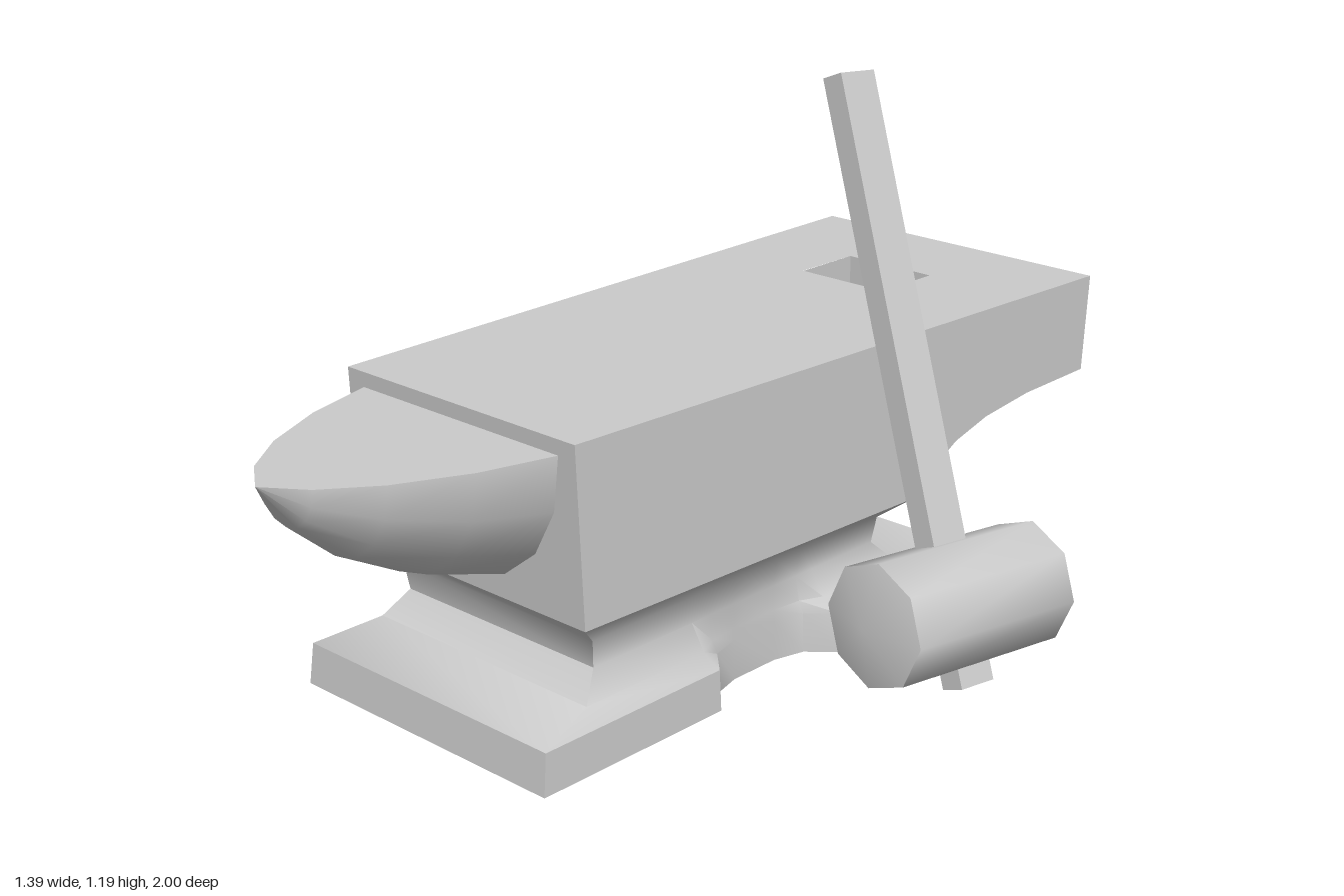
import * as THREE from 'three';
import { toCreasedNormals } from 'three/addons/utils/BufferGeometryUtils.js';

const grey = new THREE.MeshStandardMaterial({ color: 0xcccccc });
const greyDouble = new THREE.MeshStandardMaterial({ color: 0xcccccc, side: THREE.DoubleSide });

function part(name, geometry, material = grey) {
  const mesh = new THREE.Mesh(geometry, material);
  mesh.name = name;
  return mesh;
}

// Anvil top: slopes slightly to the heel and widens towards it
const topY = (z) => 0.659 + 0.005 * z;
const halfWidth = (z) => 0.322 + (0.645 - z) * 0.036;

// Removes the triangles that lie wholly above a height
function dropAbove(geometry, limit) {
  const p = (geometry.index ? geometry.toNonIndexed() : geometry).attributes.position;
  const kept = [];
  for (let i = 0; i < p.count; i += 3) {
    if (Math.min(p.getY(i), p.getY(i + 1), p.getY(i + 2)) > limit) continue;
    for (let k = i; k < i + 3; k++) kept.push(p.getX(k), p.getY(k), p.getZ(k));
  }
  const out = new THREE.BufferGeometry();
  out.setAttribute('position', new THREE.Float32BufferAttribute(kept, 3));
  return out;
}

// Flat upward face from [x, z] corners, with an optional hole
function flatTop(corners, hole) {
  const points = (list) => list.map(([x, z]) => new THREE.Vector2(x, -z));
  const shape = new THREE.Shape(points(corners));
  if (hole) shape.holes.push(new THREE.Path(points(hole)));
  return new THREE.ShapeGeometry(shape).rotateX(-Math.PI / 2);
}

// Body with the heel's curved underside, extruded across the width
function bodyGeometry() {
  const profile = [
    [0.645, topY(0.645)], [-0.883, topY(-0.883)], [-0.865, 0.44], [-0.67, 0.432], [-0.53, 0.413],
    [-0.43, 0.383], [-0.36, 0.342], [-0.3, 0.29], [0.63, 0.29],
  ];
  const shape = new THREE.Shape(profile.map(([z, y]) => new THREE.Vector2(z, y)));
  const g = new THREE.ExtrudeGeometry(shape, { depth: 1, bevelEnabled: false });
  g.rotateY(-Math.PI / 2).translate(0.5, 0, 0);
  const p = g.attributes.position;
  for (let i = 0; i < p.count; i++) p.setX(i, p.getX(i) * 2 * halfWidth(p.getZ(i)));
  return toCreasedNormals(dropAbove(g, 0.6), 0.6);
}

// Foot and waist: stacked outlines with a scooped notch on both long sides
function footGeometry() {
  // height, half width front, half width back, front z, back z, notch depth
  const rings = [
    [0.01, 0.347, 0.347, 0.765, -0.54, 0.075],
    [0.097, 0.343, 0.343, 0.755, -0.53, 0.072],
    [0.122, 0.3, 0.3, 0.61, -0.315, 0.03],
    [0.175, 0.268, 0.268, 0.56, -0.263, 0],
    [0.235, 0.276, 0.28, 0.568, -0.267, 0],
    [0.29, 0.3225, 0.356, 0.63, -0.3, 0],
  ];
  const notch = [[0.29, 0], [0.24, 0.75], [0.17, 1], [0.05, 1], [-0.02, 0.75], [-0.07, 0]];
  const loops = rings.map(([y, hf, hb, zf, zb, depth]) => {
    const right = [[zf, 0], ...notch, [zb, 0]].map(([z, d]) => {
      const half = hf + (hb - hf) * (zf - z) / (zf - zb);
      return [half - d * depth, y, z];
    });
    const left = right.map(([x, h, z]) => [-x, h, z]).reverse();
    return [...right, ...left];
  });
  const n = loops[0].length;
  const positions = loops.flat(2);
  const index = [];
  for (let i = 0; i < n; i++) {
    const j = (i + 1) % n;
    for (let r = 0; r < loops.length - 1; r++) {
      const a = r * n + i, b = r * n + j;
      index.push(a, b, a + n, b, b + n, a + n);
    }
    index.push(loops.length * n, j, i);
  }
  positions.push(0, 0.01, 0.11);
  const g = new THREE.BufferGeometry();
  g.setAttribute('position', new THREE.Float32BufferAttribute(positions, 3));
  g.setIndex(index);
  return toCreasedNormals(g, 0.75);
}

function createAnvil() {
  const anvil = new THREE.Group();
  anvil.name = 'anvil';
  anvil.add(part('foot', footGeometry()), part('body', bodyGeometry()));

  // Working face with the square tool hole
  const [hx, z0, z1, depth] = [0.115, -0.64, -0.475, 0.08];
  const corners = [-0.883, 0.645].flatMap((z, i) => {
    const s = i ? 1 : -1;
    return [[s * halfWidth(z), z], [-s * halfWidth(z), z]];
  });
  const face = flatTop(corners, [[-hx, z0], [hx, z0], [hx, z1], [-hx, z1]]);
  const p = face.attributes.position;
  for (let i = 0; i < p.count; i++) p.setY(i, topY(p.getZ(i)));
  face.computeVertexNormals();
  anvil.add(part('face', face));

  const recess = dropAbove(new THREE.BoxGeometry(hx * 2, depth, z1 - z0), 0);
  recess.computeVertexNormals();
  const recessMesh = part('toolHole', recess, greyDouble);
  recessMesh.position.set(0, topY(z0) - depth / 2, (z0 + z1) / 2);
  anvil.add(recessMesh);

  // Horn: half a turned cone with a flat top
  const horn = [[0.28, 0.63], [0.233, 0.8], [0.163, 0.945], [0.084, 1.047], [0, 1.106]];
  const hornPoints = horn.map(([r, z]) => new THREE.Vector2(r, z));
  const under = new THREE.LatheGeometry(hornPoints, 8, -Math.PI / 2, Math.PI);
  under.rotateX(Math.PI / 2).scale(1, 1.11, 1);
  const mirrored = horn.slice(0, -1).reverse().map(([r, z]) => [-r, z]);
  const hornGroup = new THREE.Group();
  hornGroup.name = 'horn';
  hornGroup.add(part('hornUnderside', under), part('hornTop', flatTop([...horn, ...mirrored])));
  hornGroup.position.y = 0.63;
  anvil.add(hornGroup);

  anvil.position.set(-0.12, 0, -0.042);
  anvil.rotation.y = -0.34;
  return anvil;
}

function createHammer() {
  const hammer = new THREE.Group();
  hammer.name = 'hammer';

  // Eight-sided head with shallow pointed ends
  const outline = [[0, -0.25], [0.132, -0.218], [0.132, 0.218], [0, 0.25]];
  const head = new THREE.LatheGeometry(outline.map(([r, y]) => new THREE.Vector2(r, y)), 8);
  head.rotateY(Math.PI / 8).rotateX(Math.PI / 2);
  hammer.add(part('hammerHead', toCreasedNormals(head, 0.95)));

  // Straight handle passing through the head
  const [low, high] = [-0.168, 1.085];
  const handle = new THREE.BoxGeometry(0.055, high - low, 0.09).translate(0, (high + low) / 2, 0);
  hammer.add(part('hammerHandle', handle));

  // Lean: y follows the handle, z follows the head
  const up = new THREE.Vector3(-0.301, 0.929, -0.214).normalize();
  const along = new THREE.Vector3(-0.2, 0.035, 0.39);
  along.addScaledVector(up, -along.dot(up)).normalize();
  const side = new THREE.Vector3().crossVectors(up, along);
  hammer.quaternion.setFromRotationMatrix(new THREE.Matrix4().makeBasis(side, up, along));
  hammer.position.set(0.477, 0.173, 0.024);
  return hammer;
}

export function createModel() {
  const model = new THREE.Group();
  model.name = 'anvilAndHammer';
  model.add(createAnvil(), createHammer());
  return model;
}
